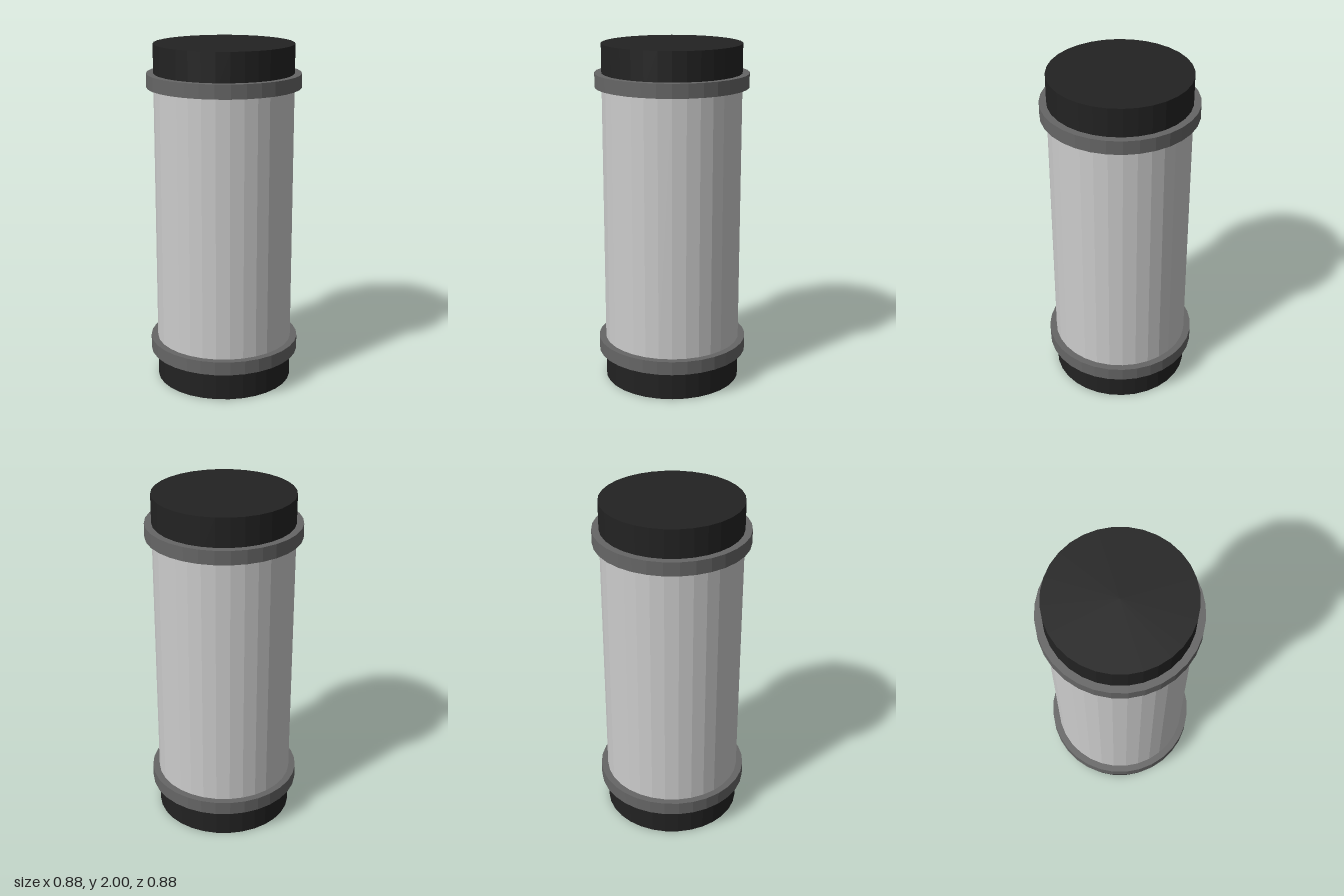
import * as THREE from 'three';

const SIDES = 32;

function flatMaterial(name, color) {
  const material = new THREE.MeshStandardMaterial({ color, flatShading: true });
  material.name = name;
  return material;
}

// Upright cylinder between two heights
function drum(name, radius, bottom, top, material) {
  const geometry = new THREE.CylinderGeometry(radius, radius, top - bottom, SIDES);
  const mesh = new THREE.Mesh(geometry, material);
  mesh.name = name;
  mesh.position.y = (bottom + top) / 2;
  return mesh;
}

export function createModel() {
  const lightGrey = flatMaterial('light grey', 0xcccccc);
  const midGrey = flatMaterial('mid grey', 0x666666);
  const black = flatMaterial('black', 0x222222);

  const model = new THREE.Group();
  model.name = 'canister';

  // Main tube, ending inside the two bands
  model.add(drum('body', 0.4, 0.21, 1.79, lightGrey));

  // End caps, each meeting the body behind a raised band
  model.add(drum('bottomCap', 0.4, 0, 0.21, black));
  model.add(drum('bottomBand', 0.44, 0.17, 0.25, midGrey));
  model.add(drum('topCap', 0.4, 1.79, 2, black));
  model.add(drum('topBand', 0.44, 1.755, 1.835, midGrey));

  return model;
}
